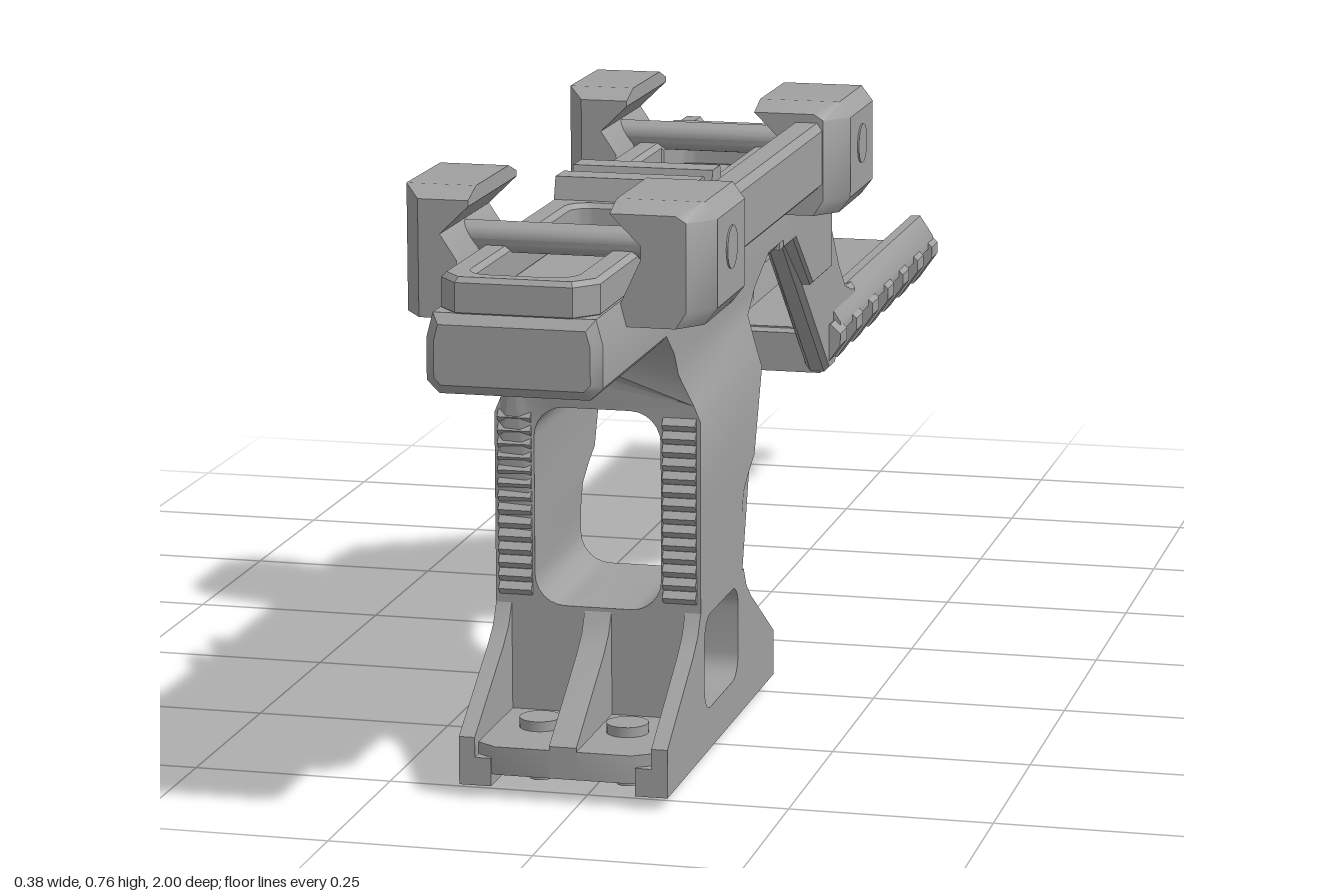
import * as THREE from 'three';
import { toCreasedNormals } from 'three/addons/utils/BufferGeometryUtils.js';

export function createModel() {
  const model = new THREE.Group();
  model.name = 'opticRiserMount';
  const body = new THREE.Group();
  body.name = 'mount';
  body.position.x = -0.02; // parts below are laid out about their own mid plane
  model.add(body);
  const gray = new THREE.MeshStandardMaterial({ color: 0xa0a0a0 });
  gray.name = 'metalGray';

  function add(name, geo) {
    const mesh = new THREE.Mesh(toCreasedNormals(geo, 0.6), gray);
    mesh.name = name;
    body.add(mesh);
    return mesh;
  }
  const box = (name, x0, x1, y0, y1, z0, z1) =>
    add(name, new THREE.BoxGeometry(x1 - x0, y1 - y0, z1 - z0)
      .translate((x0 + x1) / 2, (y0 + y1) / 2, (z0 + z1) / 2));
  const toShape = (pts) => new THREE.Shape(pts.map((p) => new THREE.Vector2(p[0], p[1])));

  // rounded rectangle as points, with optional extra heights along its sides
  function roundRect(x0, x1, y0, y1, r, heights = []) {
    const pts = [];
    const corner = (cx, cy, a) => {
      for (let i = 0; i <= 6; i++) {
        const t = a + (i / 6) * Math.PI / 2;
        pts.push([cx + r * Math.cos(t), cy + r * Math.sin(t)]);
      }
    };
    const ys = heights.filter((y) => y > y0 + r + 0.001 && y < y1 - r - 0.001);
    ys.forEach((y) => pts.push([x1, y]));
    corner(x1 - r, y1 - r, 0);
    corner(x0 + r, y1 - r, Math.PI / 2);
    [...ys].reverse().forEach((y) => pts.push([x0, y]));
    corner(x0 + r, y0 + r, Math.PI);
    corner(x1 - r, y0 + r, Math.PI * 1.5);
    return pts;
  }
  function extrude(pts, depth, holes = [], bevel = 0, steps = 1) {
    const shape = toShape(pts);
    holes.forEach((h) => shape.holes.push(toShape(h)));
    return new THREE.ExtrudeGeometry(shape, {
      depth: depth - 2 * bevel, steps, bevelEnabled: bevel > 0, bevelSize: bevel,
      bevelThickness: bevel, bevelOffset: -bevel, bevelSegments: 1,
    }).translate(0, 0, bevel);
  }
  // [z, y] outline swept across x
  const side = (name, pts, x0, x1, holes, bevel) =>
    add(name, extrude(pts, x1 - x0, holes, bevel).rotateY(-Math.PI / 2).translate(x1, 0, 0));
  // [x, z] outline swept down from the top height
  const plan = (name, pts, y0, y1, holes, bevel) =>
    add(name, extrude(pts, y1 - y0, holes, bevel).rotateX(Math.PI / 2).translate(0, y1, 0));
  // [x, y] outline swept along z
  const section = (name, pts, z0, z1, bevel) =>
    add(name, extrude(pts, z1 - z0, [], bevel).translate(0, 0, z0));
  const mirrored = (half) => [...half, ...half.map(([x, y]) => [-x, y]).reverse()];
  function table(rows, y) {
    for (let i = 1; i < rows.length; i++) {
      const [ya, a] = rows[i - 1], [yb, b] = rows[i];
      if (y <= yb) return a + (b - a) * Math.max(0, (y - ya) / (yb - ya));
    }
    return rows[rows.length - 1][1];
  }

  // column: window frame whose front and back faces flare with height
  const back = [[0.27, 0.4], [0.3, 0.39], [0.32, 0.36], [0.335, 0.33], [0.46, 0.28], [0.5, 0.26], [0.53, 0.22], [0.56, 0.14]];
  const front = [[0.46, 0.62], [0.5, 0.63], [0.53, 0.65], [0.56, 0.69]];
  const heights = back.map((r) => r[0]);
  const halfWidth = [[0.44, 0.13], [0.5, 0.105], [0.56, 0.105]];
  const right = [0.19, ...heights, 0.44].sort((a, b) => a - b).map((y) => [table(halfWidth, y), y]);
  const column = extrude(mirrored(right), 1, [roundRect(-0.08, 0.08, 0.2, 0.45, 0.038, heights)]);
  const cp = column.attributes.position;
  for (let i = 0; i < cp.count; i++) {
    const b = table(back, cp.getY(i)), f = table(front, cp.getY(i));
    cp.setZ(i, b + (f - b) * cp.getZ(i));
  }
  add('column', column);

  // grip serrations on the column front
  for (const s of [-1, 1]) {
    for (let i = 0; i < 14; i++) {
      add('serration', new THREE.BoxGeometry(0.042, 0.0115, 0.0115).rotateX(Math.PI / 4)
        .translate(s * 0.104, 0.219 + i * 0.0167, 0.62));
    }
  }

  // foot: pocketed block, core, gussets and plate
  const block = [[0.4, 0.04], [0.62, 0.04], [0.62, 0.2], [0.4, 0.2]];
  side('footBlock', block, -0.13, 0.13, [roundRect(0.42, 0.6, 0.068, 0.188, 0.03)]);
  box('footCore', -0.075, 0.075, 0.05, 0.195, 0.41, 0.61);
  const frontGusset = [[0.61, 0.03], [0.79, 0.03], [0.79, 0.075], [0.66, 0.155], [0.635, 0.175], [0.62, 0.2], [0.61, 0.2]];
  const backGusset = frontGusset.map(([z, y]) => [1.01 - z, y]);
  for (const g of [frontGusset, backGusset]) {
    for (const s of [-1, 1]) side('sideGusset', g, s * 0.12 - 0.01, s * 0.12 + 0.01);
    side('centreRib', g.map(([z, y]) => [z, Math.max(0.03, y - 0.005)]), -0.017, 0.017);
  }
  const footPlan = [[-0.13, 0.25], [-0.085, 0.22], [0.085, 0.22], [0.13, 0.25],
    [0.13, 0.76], [0.085, 0.79], [-0.085, 0.79], [-0.13, 0.76]];
  plan('footPlate', footPlan, 0.03, 0.065);
  for (const s of [-1, 1]) {
    side('footRunner', [[0.22, 0.015], [0.79, 0.015], [0.79, 0.05], [0.22, 0.05]], s * 0.11 - 0.02, s * 0.11 + 0.02);
    for (const z of [0.69, 0.32]) {
      add('footScrew', new THREE.CylinderGeometry(0.016, 0.014, 0.07, 16).translate(s * 0.055, 0.035, z));
      add('screwHead', new THREE.CylinderGeometry(0.026, 0.026, 0.015, 20).translate(s * 0.055, 0.07, z));
    }
  }
  plan('footLug', [[-0.033, 0.47], [0.033, 0.47], [0.033, 0.54], [-0.033, 0.54]], 0.015, 0.035,
    [[[-0.02, 0.483], [0.02, 0.483], [0.02, 0.527], [-0.02, 0.527]]]);

  // top beam, deck with two pockets, and recoil lugs
  section('beam', mirrored([[0.09, 0.545], [0.105, 0.56], [0.105, 0.61], [0.097, 0.64]]), -0.06, 1, 0.012);
  const deck = [[-0.095, -0.14], [0.095, -0.14], [0.095, 0.96], [0.07, 0.99], [-0.07, 0.99], [-0.095, 0.96]];
  plan('deck', deck, 0.635, 0.682,
    [roundRect(-0.06, 0.06, -0.04, 0.32, 0.025), roundRect(-0.06, 0.06, 0.5, 0.96, 0.025)], 0.006);
  for (const z of [0.37, 0.455]) {
    side('recoilLug', [[z - 0.03, 0.675], [z + 0.03, 0.675], [z + 0.02, 0.71], [z - 0.02, 0.71]], -0.09, 0.09);
  }

  // rear arm cheeks with wider shoulder panels
  const cheek = [[0.06, 0.55], [-0.02, 0.545], [-0.3, 0.307], [-0.345, 0.307], [-0.36, 0.34], [-0.48, 0.345],
    [-0.48, 0.4], [-0.45, 0.402], [-0.41, 0.415], [-0.37, 0.45], [-0.18, 0.68], [0.06, 0.68]];
  const shoulder = [[0.06, 0.547], [-0.02, 0.547], [-0.125, 0.465], [-0.25, 0.465], [-0.25, 0.59], [-0.225, 0.615], [0.06, 0.615]];
  for (const s of [-1, 1]) {
    side('armCheek', cheek, s * 0.0735 - 0.0165, s * 0.0735 + 0.0165, [], 0.007);
    side('armShoulder', shoulder, s * 0.0825 - 0.0225, s * 0.0825 + 0.0225, [], 0.004);
  }

  // rear rail: channelled bar with cross teeth underneath
  section('rail', mirrored([[0.075, 0.335], [0.1, 0.358], [0.1, 0.372], [0.08, 0.402], [0.066, 0.402], [0.056, 0.362]]), -0.995, -0.33);
  for (let i = 0; i < 7; i++) {
    const z = -0.322 - i * 0.1093;
    section('railTooth', mirrored([[0.078, 0.305], [0.106, 0.345], [0.106, 0.362], [0.092, 0.375], [0.06, 0.36]]), z - 0.0225, z + 0.0225);
  }

  // clamp jaws: outer corners drawn in at both ends
  const outerJaw = [[0.085, 0.755], [0.19, 0.755], [0.205, 0.735], [0.205, 0.63], [0.19, 0.61], [0.085, 0.61], [0.122, 0.69], [0.122, 0.706]];
  const fixedJaw = [[-0.17, 0.763], [-0.085, 0.763], [-0.085, 0.744], [-0.12, 0.71], [-0.1, 0.68], [-0.09, 0.61], [-0.17, 0.61]];
  function jaw(name, pts, zc) {
    const geo = extrude(pts, 0.21, [], 0, 6).translate(0, 0, -0.105);
    const p = geo.attributes.position;
    for (let i = 0; i < p.count; i++) {
      if (Math.abs(p.getZ(i)) < 0.1) continue;
      if (Math.abs(p.getX(i)) > 0.15) p.setX(i, p.getX(i) * 0.86);
      if (p.getY(i) > 0.75) p.setY(i, p.getY(i) - 0.012);
    }
    add(name, geo.translate(0, 0, zc));
  }
  for (const z of [0.775, 0.035]) {
    jaw('movingJaw', outerJaw, z);
    jaw('fixedJaw', fixedJaw, z);
    add('crossBolt', new THREE.CylinderGeometry(0.019, 0.019, 0.24, 16).rotateZ(Math.PI / 2).translate(0, 0.69, z));
    add('boltEnd', new THREE.CylinderGeometry(0.026, 0.026, 0.008, 20).rotateZ(Math.PI / 2).translate(0.203, 0.69, z));
    add('nutRing', new THREE.TorusGeometry(0.055, 0.006, 8, 32).rotateY(Math.PI / 2).translate(-0.168, 0.69, z));
    add('nut', new THREE.CylinderGeometry(0.018, 0.018, 0.01, 6).rotateZ(Math.PI / 2).translate(-0.168, 0.69, z));
  }

  // bar joining the two moving jaws
  section('jawBar', [[0.14, 0.645], [0.168, 0.645], [0.175, 0.652], [0.175, 0.722], [0.168, 0.732], [0.14, 0.732]], 0.11, 0.7);
  return model;
}
